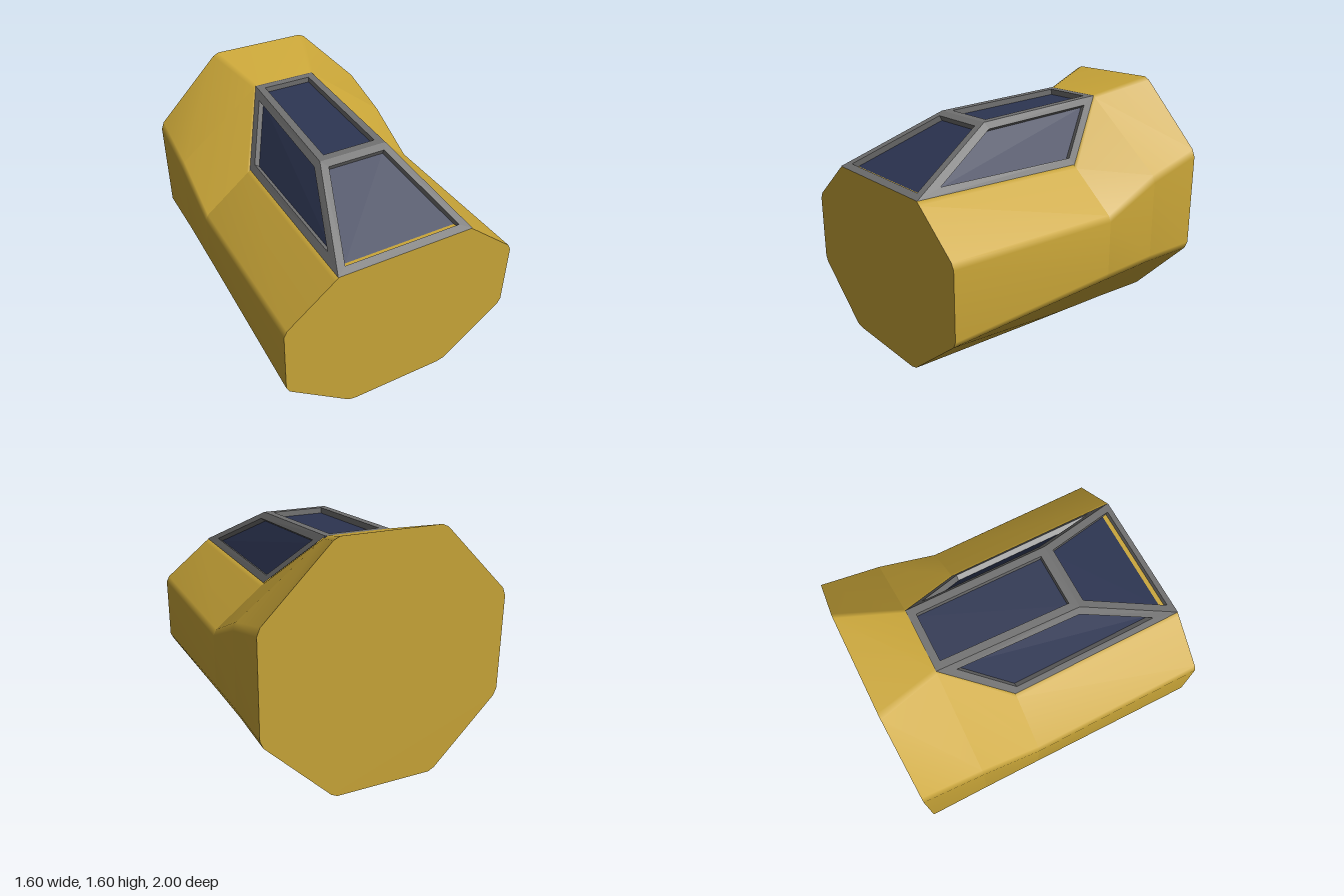
import * as THREE from 'three';

const hullMat = new THREE.MeshStandardMaterial({ color: 0xcaa638 });
const frameMat = new THREE.MeshStandardMaterial({ color: 0x707070 });
const glassMat = new THREE.MeshStandardMaterial({ color: 0x2d3552 });

// Right half of each octagonal hull section, top to bottom, corners bevelled
const front = [[0.45, 1.122], [0.48, 1.1], [0.78, 0.86], [0.8, 0.82], [0.8, 0.39], [0.78, 0.35], [0.37, 0.03], [0.32, 0.018]];
const step = [[0.45, 1.122], [0.48, 1.1], [0.78, 0.86], [0.8, 0.82], [0.8, 0.47], [0.78, 0.42], [0.37, 0.03], [0.32, 0.015]];
const rise = [[0.2, 1.495], [0.23, 1.48], [0.78, 1.05], [0.8, 1.0], [0.8, 0.49], [0.78, 0.44], [0.36, 0.025], [0.32, 0.005]];
const rear = [[0.32, 1.6], [0.36, 1.58], [0.78, 1.16], [0.8, 1.11], [0.8, 0.49], [0.78, 0.44], [0.36, 0.02], [0.32, 0]];

const ring = (half) => [...half, ...half.map(([x, y]) => [-x, y]).reverse()];

// Skin between two sections
function band(a, za, b, zb) {
  const ra = ring(a), rb = ring(b), n = ra.length, pos = [], index = [];
  ra.forEach(([x, y]) => pos.push(x, y, za));
  rb.forEach(([x, y]) => pos.push(x, y, zb));
  for (let i = 0; i < n; i++) {
    const j = (i + 1) % n;
    index.push(i, j, n + j, i, n + j, n + i);
  }
  const g = new THREE.BufferGeometry();
  g.setAttribute('position', new THREE.Float32BufferAttribute(pos, 3));
  g.setIndex(index);
  g.computeVertexNormals();
  return g;
}

function cap(half) {
  return new THREE.ShapeGeometry(new THREE.Shape(ring(half).map(([x, y]) => new THREE.Vector2(x, y))));
}

// Flat-shaded geometry from a list of four-cornered faces
function quads(list) {
  const pts = list.flatMap(([a, b, c, d]) => [a, b, c, a, c, d]);
  const g = new THREE.BufferGeometry().setFromPoints(pts);
  g.computeVertexNormals();
  return g;
}

// Moves every corner of a quad inwards by the same width
function inset(q, width) {
  return q.map((p, i) => {
    const u = q[(i + 1) % 4].clone().sub(p).normalize();
    const v = q[(i + 3) % 4].clone().sub(p).normalize();
    const s = u.clone().cross(v).length();
    return p.clone().addScaledVector(u.add(v), width / s);
  });
}

// Window: frame ring, recess walls and sunken glass
function windowPanel(name, corners) {
  const q = corners.map((c) => new THREE.Vector3(...c));
  const normal = q[2].clone().sub(q[0]).cross(q[3].clone().sub(q[1])).normalize();
  const hole = inset(q, 0.05);
  const pane = hole.map((p) => p.clone().addScaledVector(normal, -0.038));
  const faces = [];
  for (let i = 0; i < 4; i++) {
    const j = (i + 1) % 4;
    faces.push([q[i], q[j], hole[j], hole[i]], [hole[i], hole[j], pane[j], pane[i]]);
  }
  const group = new THREE.Group();
  group.name = name;
  group.add(mesh(name + 'Frame', quads(faces), frameMat), mesh(name + 'Glass', quads([pane]), glassMat));
  return group;
}

function mesh(name, geometry, material) {
  const m = new THREE.Mesh(geometry, material);
  m.name = name;
  return m;
}

export function createModel() {
  const model = new THREE.Group();
  model.name = 'cockpit';

  // Hull skin and end caps
  const hull = new THREE.Group();
  hull.name = 'hull';
  const frontCap = mesh('frontCap', cap(front), hullMat);
  frontCap.position.z = 1;
  const rearCap = mesh('rearCap', cap(rear), hullMat);
  rearCap.position.z = -1;
  rearCap.rotation.y = Math.PI;
  hull.add(
    mesh('noseSection', band(front, 1, step, -0.2), hullMat),
    mesh('risingSection', band(step, -0.2, rise, -0.6), hullMat),
    mesh('rearSection', band(rise, -0.6, rear, -1), hullMat),
    frontCap, rearCap
  );

  // Canopy windows: nose foot, brow, roof back and side foot corners
  const foot = (s) => [0.458 * s, 1.122, 1];
  const brow = (s) => [0.23 * s, 1.44, 0.36];
  const back = (s) => [0.215 * s, 1.494, -0.6];
  const side = (s) => [0.458 * s, 1.122, -0.2];
  const canopy = new THREE.Group();
  canopy.name = 'canopy';
  canopy.add(
    windowPanel('windscreen', [foot(-1), foot(1), brow(1), brow(-1)]),
    windowPanel('roofWindow', [brow(-1), brow(1), back(1), back(-1)]),
    windowPanel('leftWindow', [foot(1), side(1), back(1), brow(1)]),
    windowPanel('rightWindow', [foot(-1), brow(-1), back(-1), side(-1)])
  );

  model.add(hull, canopy);
  return model;
}
